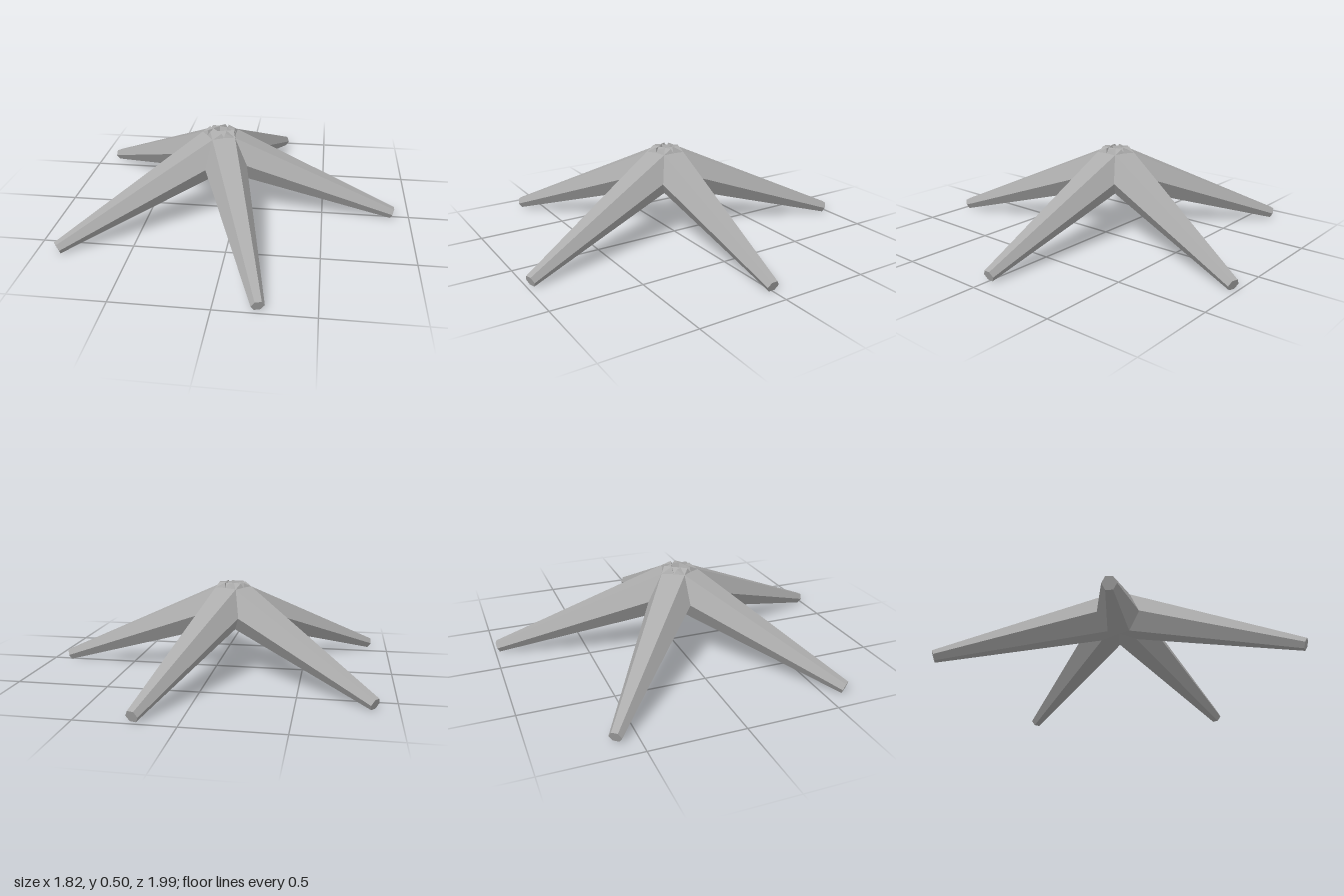
import * as THREE from 'three';

const HUB_X = -0.0925;
const root = new THREE.Vector2(-0.005, 0.391); // leg axis start: radial distance, height
const TIP_Y = 0.0277;
const ROOT_RADIUS = 0.134;
const TIP_RADIUS = 0.034;

// Tapered six-sided leg sloping down from the hub along +x
function legGeometry(reach) {
  const tip = new THREE.Vector2(reach, TIP_Y);
  const axis = tip.clone().sub(root);
  const geometry = new THREE.CylinderGeometry(TIP_RADIUS, ROOT_RADIUS, axis.length(), 6);
  geometry.rotateZ(axis.angle() - Math.PI / 2);
  geometry.translate((root.x + tip.x) / 2, (root.y + tip.y) / 2, 0);
  return geometry;
}

export function createModel() {
  const model = new THREE.Group();
  model.name = 'fiveLeggedBase';

  const grey = new THREE.MeshStandardMaterial({ color: 0xacacac, flatShading: true });
  grey.name = 'grey';

  // Five legs whose thick ends interlock to form the hub
  const legs = [
    ['rightLeg', 0, 0.995],
    ['frontRightLeg', 72.4, 1.028],
    ['frontLeftLeg', 142.3, 1.0],
    ['backLeftLeg', -142.3, 1.0],
    ['backRightLeg', -72.4, 1.028],
  ];
  for (const [name, degrees, reach] of legs) {
    const leg = new THREE.Mesh(legGeometry(reach), grey);
    // Swap to the model's own left and right
    leg.name = name.replace(/right|left/i, (s) =>
      ({ right: 'left', left: 'right', Right: 'Left', Left: 'Right' })[s]);
    leg.position.x = HUB_X;
    leg.rotation.y = -THREE.MathUtils.degToRad(degrees);
    model.add(leg);
  }
  return model;
}
